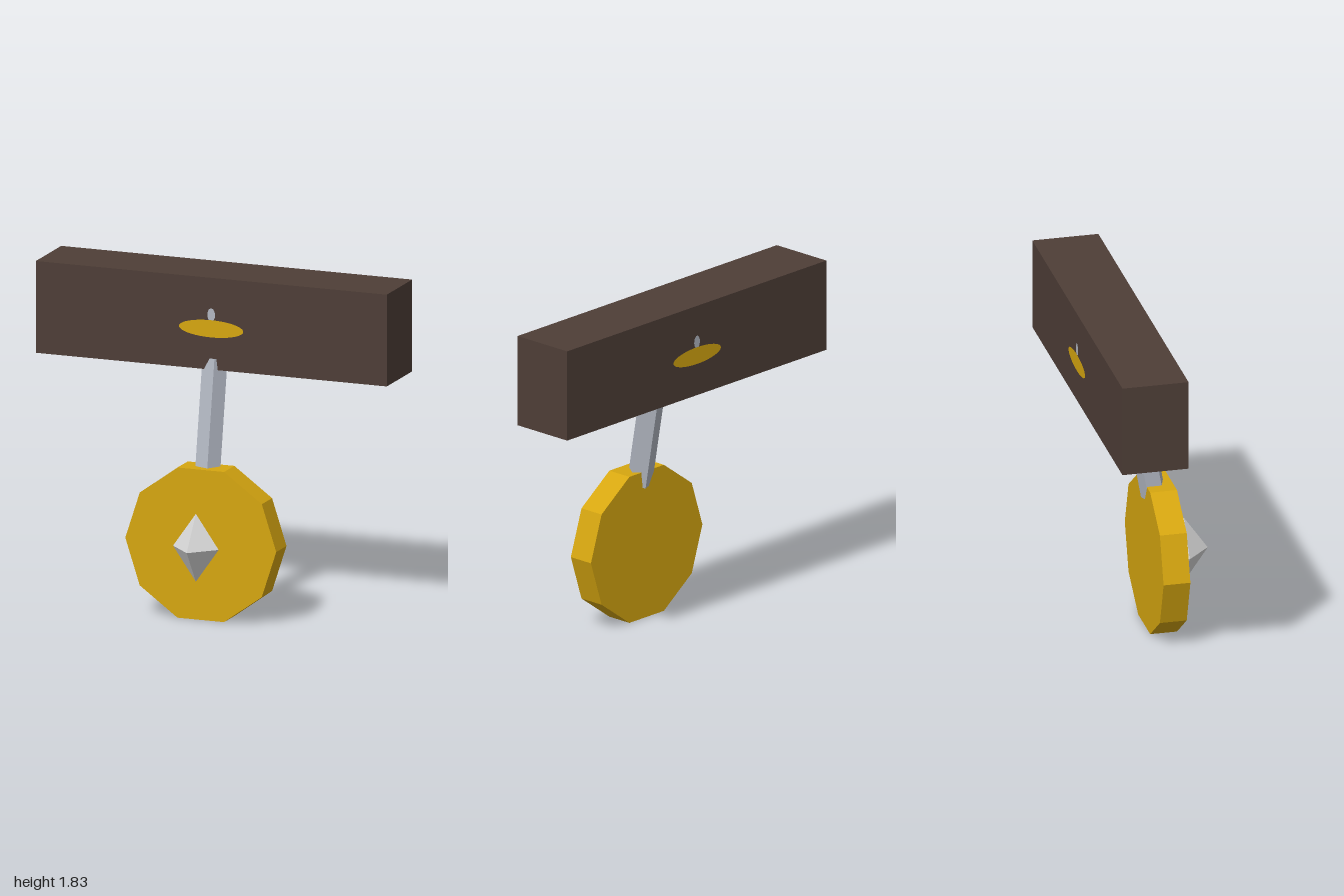
import * as THREE from 'three';

const mat = (name, color, flatShading = true) =>
  Object.assign(new THREE.MeshStandardMaterial({ color, flatShading }), { name });

export function createModel() {
  const wood = mat('darkWood', 0x4e3e37);
  const gold = mat('gold', 0xd6a610);
  const steel = mat('steel', 0xb2b7c2);
  const crystal = mat('crystal', 0xd8d8d8);

  const model = new THREE.Group();
  model.name = 'hangingPendulum';
  const add = (name, geometry, material, x, y, z, parent = model) => {
    const mesh = new THREE.Mesh(geometry, material);
    mesh.name = name;
    mesh.position.set(x, y, z);
    parent.add(mesh);
    return mesh;
  };

  // Heavy beam
  add('beam', new THREE.BoxGeometry(2, 0.5, 0.36), wood, 0, 1.58, -0.175);

  // Flat emblem on both long faces of the beam
  const ellipse = new THREE.Shape().absellipse(0, 0, 0.183, 0.047, 0, Math.PI * 2);
  const pin = new THREE.Shape().absellipse(0, 0, 0.022, 0.036, 0, Math.PI * 2);
  for (const [name, z, turn] of [['frontEmblem', 0.005, 0], ['backEmblem', -0.355, Math.PI]]) {
    const emblem = new THREE.Group();
    emblem.name = name;
    emblem.position.set(0, 1.553, z);
    emblem.rotation.y = turn;
    add('emblemPin', new THREE.ShapeGeometry(pin, 12), steel, 0, 0.075, 0.002, emblem);
    add('emblemDisc', new THREE.ShapeGeometry(ellipse, 24), gold, 0, 0, 0.003, emblem);
    model.add(emblem);
  }

  // Five-sided rod, leaning back into the beam
  const rodShape = new THREE.CylinderGeometry(0.07, 0.07, 0.65, 5).rotateY(Math.PI / 2);
  add('rod', rodShape, steel, 0, 1.06, 0.006).rotation.x = -Math.PI / 18;

  // Ten-sided weight facing the front
  const weight = new THREE.CylinderGeometry(0.43, 0.43, 0.146, 10)
    .rotateY(Math.PI / 2).rotateX(Math.PI / 2);
  add('weight', weight, gold, 0, 0.41, 0.082);

  // Crystal set in the middle of the weight
  add('crystal', new THREE.OctahedronGeometry(1).scale(0.13, 0.185, 0.13), crystal, 0, 0.41, 0.225);

  return model;
}
